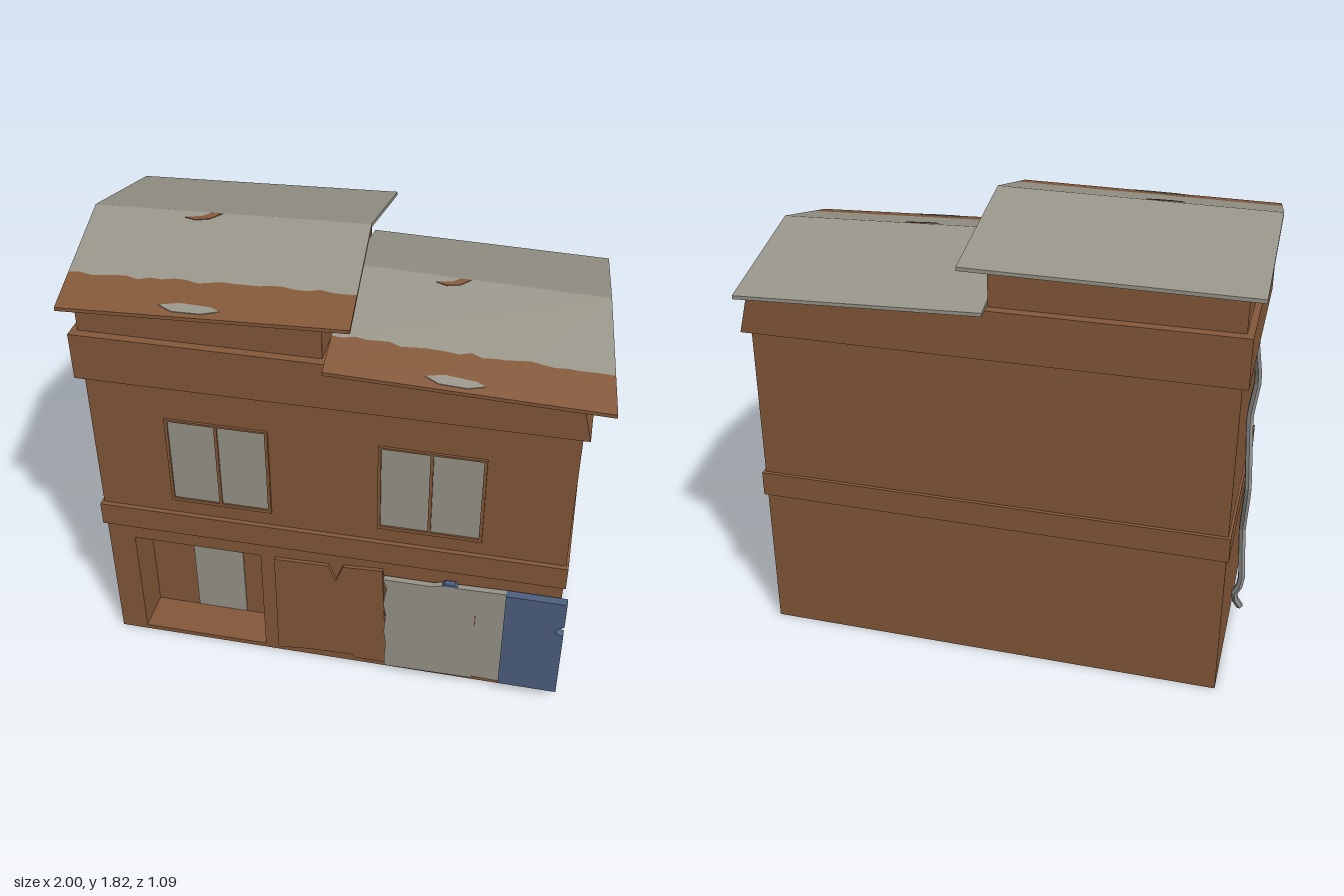
import * as THREE from 'three';

export function createModel() {
  const group = new THREE.Group();
  const material = (name, color, side = THREE.FrontSide) => {
    const m = new THREE.MeshStandardMaterial({ color, side });
    m.name = name;
    return m;
  };
  const brown = material('rusty brown', 0x85593a);
  const grey = material('weathered grey', 0x99968a);
  const blue = material('faded blue', 0x4d6180);
  const metal = material('pipe metal', 0x929290);

  const add = (name, geometry, mat, parent = group) => {
    const mesh = new THREE.Mesh(geometry, mat);
    mesh.name = name;
    parent.add(mesh);
    return mesh;
  };
  const toShape = (pts) => new THREE.Shape(pts.map(([x, y]) => new THREE.Vector2(x, y)));
  const rect = (x0, y0, x1, y1) => [[x0, y0], [x1, y0], [x1, y1], [x0, y1]];

  // Outline in x and y, pushed from z0 to z1, with optional holes
  const prism = (pts, z0, z1, holes = []) => {
    const shape = toShape(pts);
    holes.forEach((h) => shape.holes.push(toShape(h)));
    const g = new THREE.ExtrudeGeometry(shape, { depth: z1 - z0, bevelEnabled: false });
    return g.translate(0, 0, z0);
  };

  let seed = 7;
  const jitter = (amount) => {
    seed = (seed * 16807) % 2147483647;
    return (seed / 2147483647 - 0.5) * 2 * amount;
  };

  // Walls: stepped block with a deep door niche in the front
  const outline = [[-0.94, 0], [0.9, 0], [0.9, 1.49], [-0.03, 1.49], [-0.03, 1.67], [-0.94, 1.67]];
  add('rearWalls', prism(outline, -0.45, 0.27), brown);
  add('frontWalls', prism(outline, 0.27, 0.44, [rect(-0.83, 0.02, -0.3, 0.525)]), brown);
  add('door', prism(rect(-0.645, 0.025, -0.43, 0.385), 0.27, 0.276), grey);

  // Ledges around the building
  add('middleLedge', prism(rect(-0.95, 0.6, 0.91, 0.7), -0.465, 0.46), brown);
  add('upperLedge', prism(
    [[-0.965, 1.32], [0.925, 1.32], [0.885, 1.48], [0.0, 1.51], [-0.965, 1.51]], -0.49, 0.475), brown);

  // Upper windows with two panes each
  [[-0.645, 'rightWindow'], [0.175, 'leftWindow']].forEach(([x, name]) => {
    const window = new THREE.Group();
    window.name = name;
    const y0 = 0.78, y1 = 1.15;
    const panes = [rect(x + 0.012, y0, x + 0.194, y1), rect(x + 0.206, y0, x + 0.39, y1)];
    add('frame', prism(rect(x, 0.765, x + 0.402, 1.158), 0.44, 0.45, panes), brown, window);
    panes.forEach((p) => add('pane', prism(p, 0.438, 0.443), grey, window));
    group.add(window);
  });

  // Torn shop shutter in three overlapping sheets
  add('brownShutter', prism([
    [-0.24, 0.03], [-0.1, 0.045], [0.08, 0.05], [0.09, 0.035], [0.23, 0.035], [0.21, 0.3],
    [0.2, 0.55], [0.04, 0.54], [0.01, 0.46], [-0.02, 0.535], [-0.24, 0.53],
  ], 0.44, 0.455), brown);
  const ragged = [];
  for (let i = 0; i <= 10; i++) ragged.push([0.215 + jitter(0.008), 0.525 - i * 0.0485]);
  add('greyShutter', prism([
    ...ragged, [0.575, 0.045], [0.58, 0.055], [0.695, 0.05], [0.695, 0.54], [0.5, 0.535],
    [0.44, 0.535], [0.4, 0.525],
  ], 0.45, 0.475), grey);
  add('shutterSlit', prism(rect(0.574, 0.345, 0.578, 0.4), 0.475, 0.478), brown);
  add('blueShutter', prism([
    [0.69, 0.05], [0.925, 0.05], [0.925, 0.37], [0.895, 0.38], [0.895, 0.4], [0.925, 0.42],
    [0.925, 0.54], [0.69, 0.54],
  ], 0.45, 0.485), blue);
  add('shutterScrap', prism([[0.44, 0.535], [0.5, 0.535], [0.49, 0.547], [0.45, 0.547]], 0.45, 0.475), blue);

  // Sheet on a roof slope: u runs along the eave, v climbs from eave to ridge
  const slopeSheet = (pts, [eaveA, eaveB, ridgeA, ridgeB], lift, depth) => {
    const g = prism(pts, lift, lift + depth);
    const p = g.attributes.position;
    const [a, b, c, d] = [eaveA, eaveB, ridgeA, ridgeB].map((q) => new THREE.Vector3(...q));
    const low = new THREE.Vector3(), high = new THREE.Vector3();
    for (let i = 0; i < p.count; i++) {
      low.lerpVectors(a, b, p.getX(i));
      high.lerpVectors(c, d, p.getX(i));
      low.lerp(high, p.getY(i));
      p.setXYZ(i, low.x, low.y + p.getZ(i), low.z);
    }
    g.computeVertexNormals();
    return g;
  };

  // Two crooked gable roofs with rusted front eaves
  const addRoof = (name, front, back) => {
    const roof = new THREE.Group();
    roof.name = name;
    const edge = [];
    for (let i = 0; i <= 24; i++) edge.push([i / 24, 0.325 + jitter(0.018)]);
    const t = 0.014;
    add('backSlope', slopeSheet(rect(0, 0, 1, 1), back, -t, t), grey, roof);
    add('frontSlope', slopeSheet([...edge, [1, 1], [0, 1]], front, -t, t), grey, roof);
    add('rustedEave', slopeSheet([[0, 0], [1, 0], ...edge.slice().reverse()], front, -t, t), brown, roof);
    add('barePatch', slopeSheet(
      [[0.35, 0.09], [0.4, 0.04], [0.5, 0.035], [0.56, 0.07], [0.53, 0.1], [0.42, 0.12]],
      front, 0, 0.003), grey, roof);
    add('rustSpot', slopeSheet(
      [[0.34, 0.93], [0.38, 0.91], [0.43, 0.93], [0.47, 0.99], [0.43, 0.99], [0.4, 0.95]],
      front, 0, 0.003), brown, roof);
    group.add(roof);
  };
  addRoof('highRoof',
    [[-0.965, 1.662, 0.54], [0.085, 1.685, 0.51], [-1, 1.795, 0.01], [0.055, 1.815, -0.01]],
    [[0.055, 1.685, -0.545], [-1, 1.665, -0.515], [0.055, 1.815, -0.01], [-1, 1.795, 0.01]]);
  addRoof('lowRoof',
    [[-0.012, 1.512, 0.525], [1, 1.478, 0.52], [-0.022, 1.648, 0], [0.94, 1.618, 0]],
    [[0.92, 1.485, -0.535], [-0.03, 1.515, -0.525], [0.94, 1.618, 0], [-0.022, 1.648, 0]]);

  // Bent drainpipe on the right wall
  const path = new THREE.CatmullRomCurve3([
    [-0.982, 0.065, 0.03], [-0.95, 0.13, 0.01], [-0.98, 0.21, 0], [-0.963, 0.45, 0.01],
    [-0.972, 0.68, -0.04], [-0.952, 0.98, -0.02], [-0.97, 1.15, -0.03], [-0.952, 1.31, -0.07],
  ].map((q) => new THREE.Vector3(...q)), false, 'catmullrom', 0.2);
  const pipe = new THREE.TubeGeometry(path, 28, 0.015, 6, false).toNonIndexed();
  pipe.computeVertexNormals();
  add('drainpipe', pipe, metal).material.side = THREE.DoubleSide;

  return group;
}
